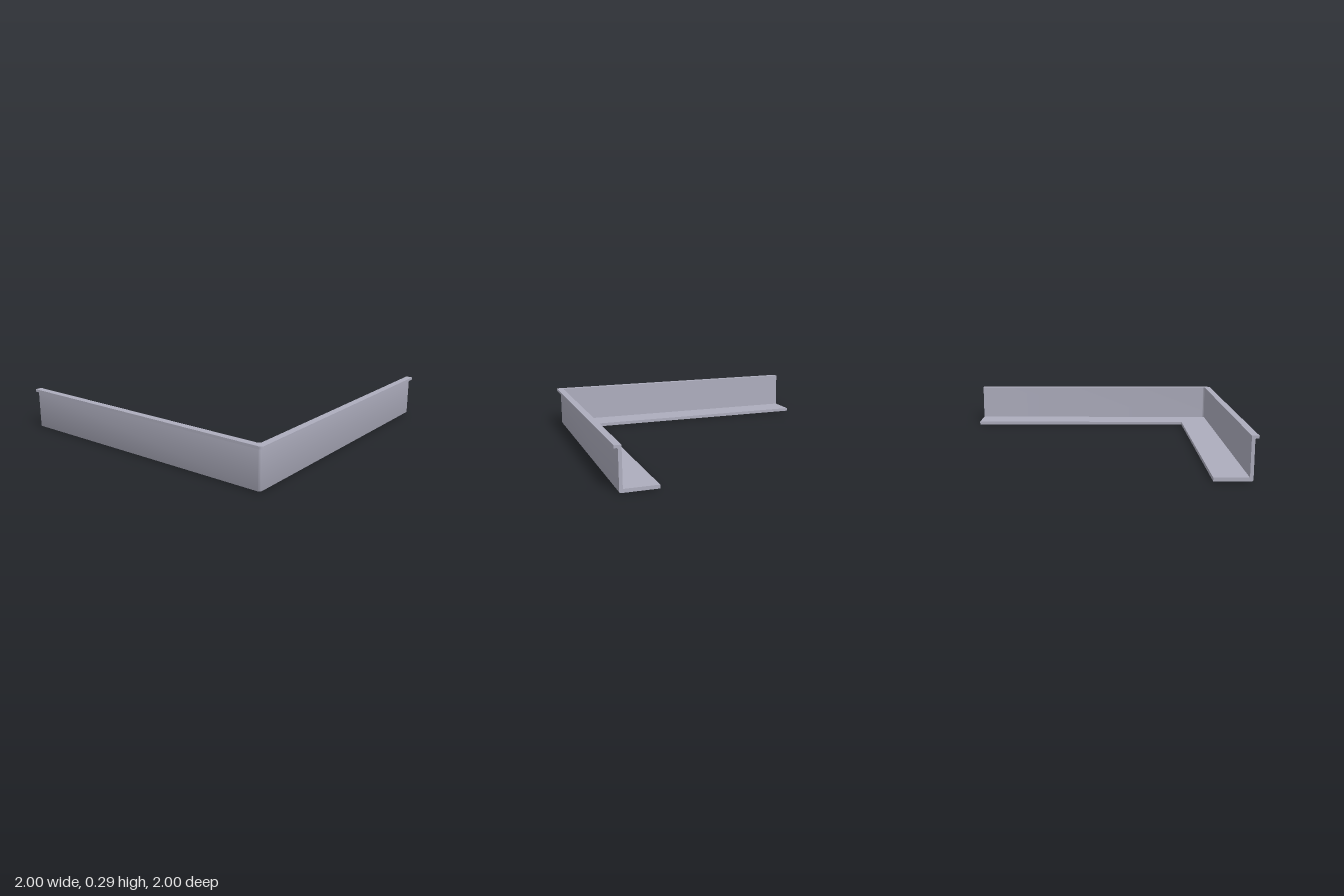
import * as THREE from 'three';
import { toCreasedNormals } from 'three/addons/utils/BufferGeometryUtils.js';

// Cross-section: [distance inward from outer edge, height, corner radius]
const R = 0.02;
const profile = [
  [0.034, 0, R], [0.272, 0, 0.001], [0.272, 0.024, 0.001], [0.047, 0.024, R], // flange
  [0.047, 0.288, R], [0, 0.288, R], [0, 0.27, R], [0.02, 0.27, R],            // lip
  [0.025, 0.265, R], [0.025, 0.009, R], [0.0276, 0.0026, R],                  // outer wall
];

// Sweeps the section along an L-shaped path with a rounded corner
function sweepCorner(section, steps) {
  const pos = [], index = [], n = section.length, stations = steps + 3;
  for (let s = 0; s < stations; s++) {
    const a = ((s - 1) / steps) * Math.PI / 2;
    for (const [d, y, r] of section) {
      if (s === 0) pos.push(-1 + d, y, -1);
      else if (s === stations - 1) pos.push(1, y, 1 - d);
      else pos.push(-1 + d + r - r * Math.cos(a), y, 1 - d - r + r * Math.sin(a));
    }
  }
  for (let s = 0; s < stations - 1; s++) {
    for (let i = 0; i < n; i++) {
      const j = (i + 1) % n, p = s * n, q = p + n;
      index.push(p + i, p + j, q + j, p + i, q + j, q + i);
    }
  }
  // Flat end caps
  const last = (stations - 1) * n;
  const contour = section.map(([d, y]) => new THREE.Vector2(d, y));
  for (const [a, b, c] of THREE.ShapeUtils.triangulateShape(contour, [])) {
    index.push(a, c, b, last + a, last + b, last + c);
  }
  const geometry = new THREE.BufferGeometry();
  geometry.setAttribute('position', new THREE.Float32BufferAttribute(pos, 3));
  geometry.setIndex(index);
  return toCreasedNormals(geometry, 0.6);
}

export function createModel() {
  const group = new THREE.Group();
  group.name = 'cornerTrim';
  const metal = new THREE.MeshStandardMaterial({ color: 0xadadbd });
  metal.name = 'greyMetal';
  const rail = new THREE.Mesh(sweepCorner(profile, 8), metal);
  rail.name = 'cornerRail';
  group.add(rail);
  return group;
}
